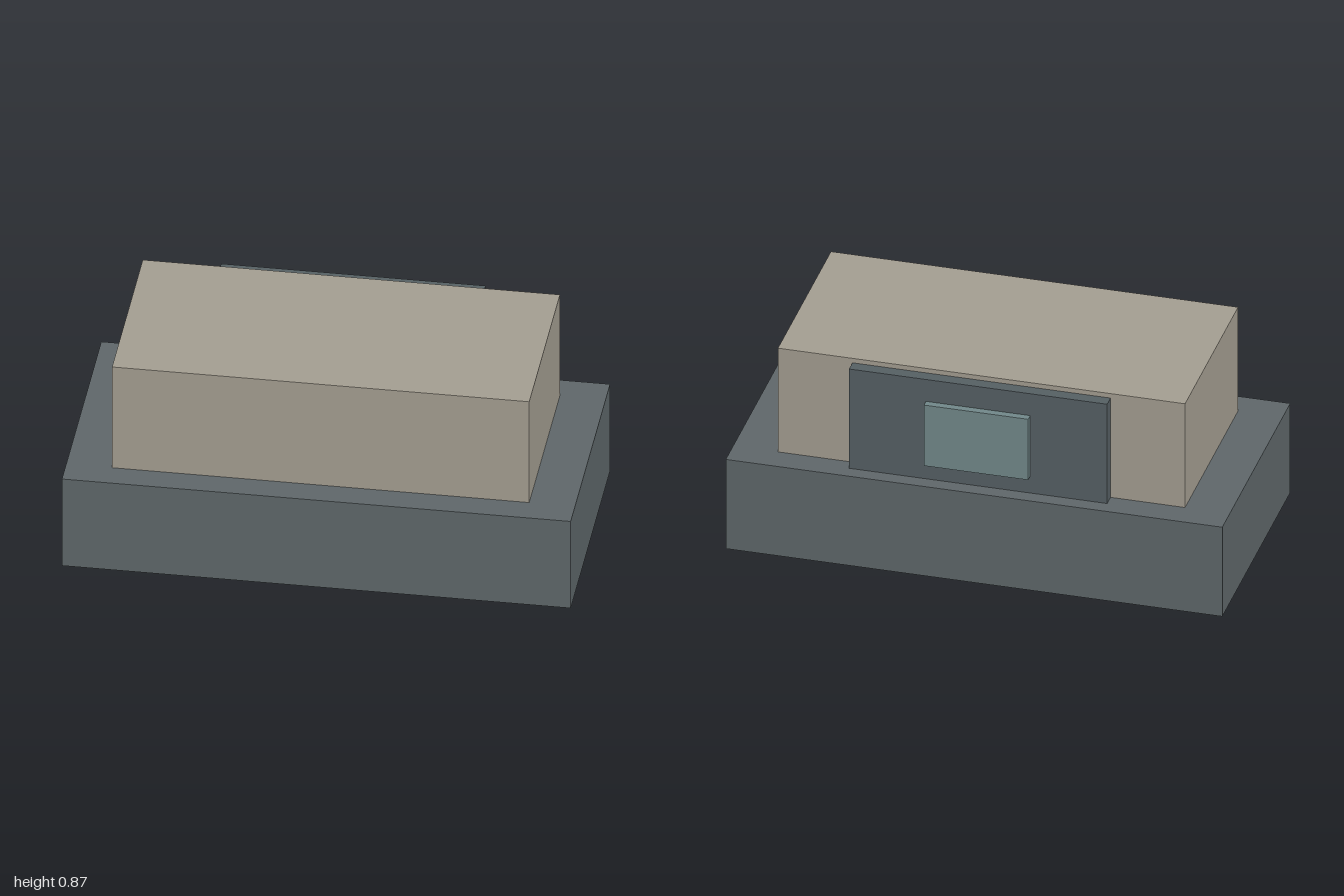
import * as THREE from 'three';

// Box given by its width (centred on x) and its y and z extents
function block(name, color, width, [y0, y1], [z0, z1]) {
  const mesh = new THREE.Mesh(
    new THREE.BoxGeometry(width, y1 - y0, z1 - z0),
    new THREE.MeshStandardMaterial({ color })
  );
  mesh.position.set(0, (y0 + y1) / 2, (z0 + z1) / 2);
  mesh.name = name;
  return mesh;
}

export function createModel() {
  const model = new THREE.Group();
  model.name = 'steppedBlock';
  model.add(
    // Wide plinth and the block standing on it
    block('base', 0x5e6669, 2, [0, 0.4], [-0.5, 0.5]),
    block('body', 0xa39d90, 1.64, [0.4, 0.865], [-0.39, 0.39]),
    // Layered panels on the back
    block('backPanel', 0x555f63, 1.04, [0.4, 0.845], [-0.44, -0.39]),
    block('backPlate', 0x718789, 0.42, [0.475, 0.747], [-0.47, -0.44])
  );
  return model;
}
